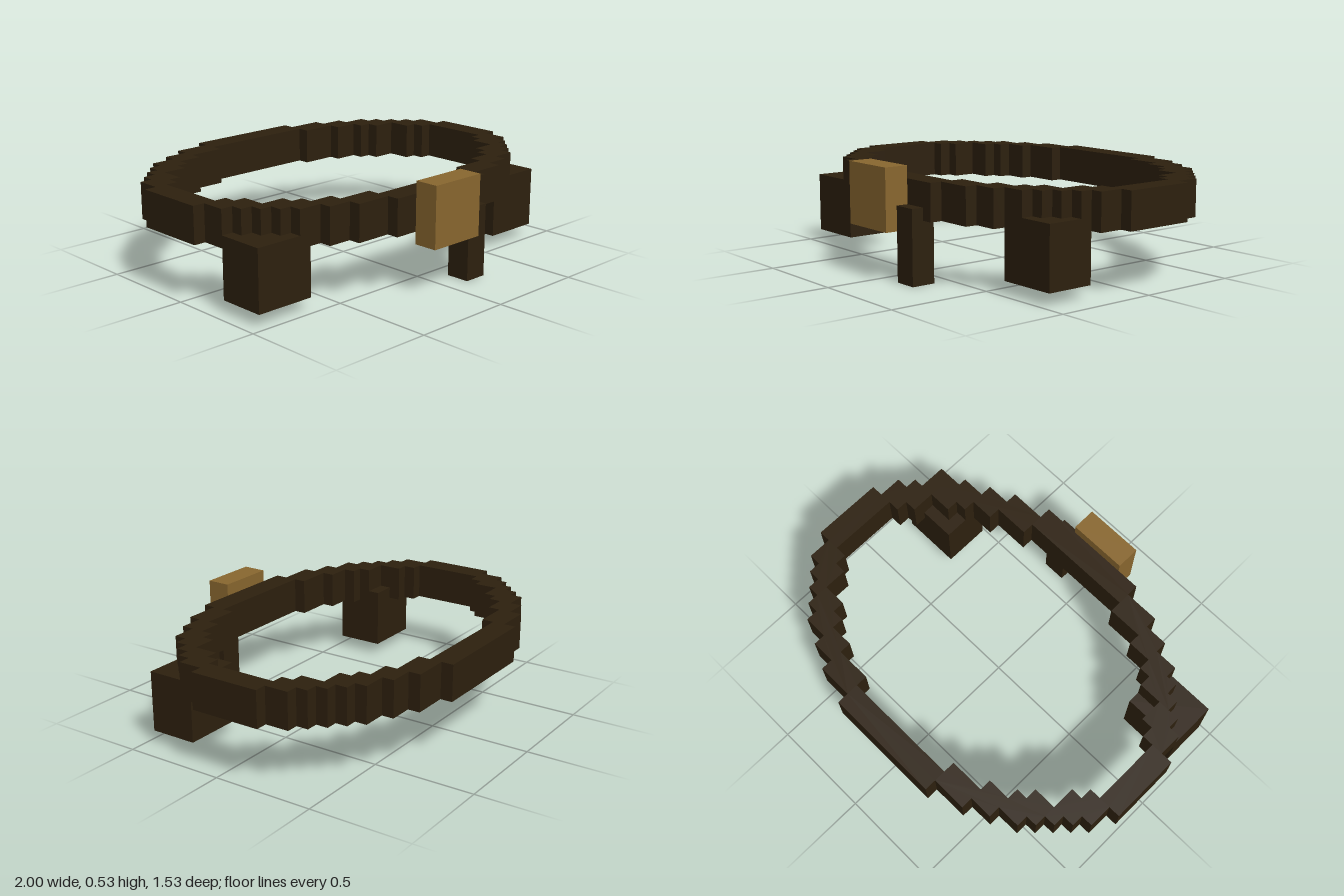
import * as THREE from 'three';

// One block of the grid: the belt is 34 blocks wide.
const U = 2 / 34;

// Closed counter-clockwise stepped oval from the [halfWidth, halfDepth] steps of one quadrant.
function steppedOval(steps) {
  const q = [];
  steps.forEach(([x, d], i) => {
    q.push([x, d]);
    if (i < steps.length - 1) q.push([x, steps[i + 1][1]]);
  });
  const r = [...q].reverse();
  return [
    ...r,
    ...q.map(([x, d]) => [-x, d]),
    ...r.map(([x, d]) => [-x, -d]),
    ...q.map(([x, d]) => [x, -d]),
  ].map(([x, d]) => new THREE.Vector2(x * U, d * U));
}

// Box between two corners given in blocks.
function block(name, material, [x0, y0, z0], [x1, y1, z1]) {
  const mesh = new THREE.Mesh(
    new THREE.BoxGeometry((x1 - x0) * U, (y1 - y0) * U, (z1 - z0) * U), material);
  mesh.position.set((x0 + x1) * U / 2, (y0 + y1) * U / 2, (z0 + z1) * U / 2);
  mesh.name = name;
  return mesh;
}

export function createModel() {
  const group = new THREE.Group();
  group.name = 'belt';
  const leather = new THREE.MeshStandardMaterial({ color: 0x2d200e });
  leather.name = 'dark leather';
  const brass = new THREE.MeshStandardMaterial({ color: 0x89672f });
  brass.name = 'brass';

  // Belt band: stepped oval ring, three blocks tall
  const shape = new THREE.Shape(steppedOval(
    [[5, 12], [8, 11], [10, 10], [12, 9], [13, 8], [14, 7], [15, 6], [16, 5], [17, 3]]));
  shape.holes.push(new THREE.Path(steppedOval(
    [[5, 10], [8, 9], [10, 8], [11, 7], [13, 6], [14, 4], [15, 3]])));
  const geometry = new THREE.ExtrudeGeometry(shape, { depth: 3 * U, bevelEnabled: false });
  geometry.rotateX(-Math.PI / 2);
  const band = new THREE.Mesh(geometry, leather);
  band.name = 'beltBand';
  band.position.set(0, 5 * U, -U);
  group.add(band);

  // Buckle, hanging strap end and the two hip pouches
  group.add(
    block('buckle', brass, [-3, 4, 11], [2, 9, 13]),
    block('strapEnd', leather, [2, 0, 10], [4, 6, 12]),
    block('rightPouch', leather, [-16, 1, 4], [-11, 6, 8]),
    block('leftPouch', leather, [10, 1, 4], [15, 6, 8]),
  );
  return group;
}
